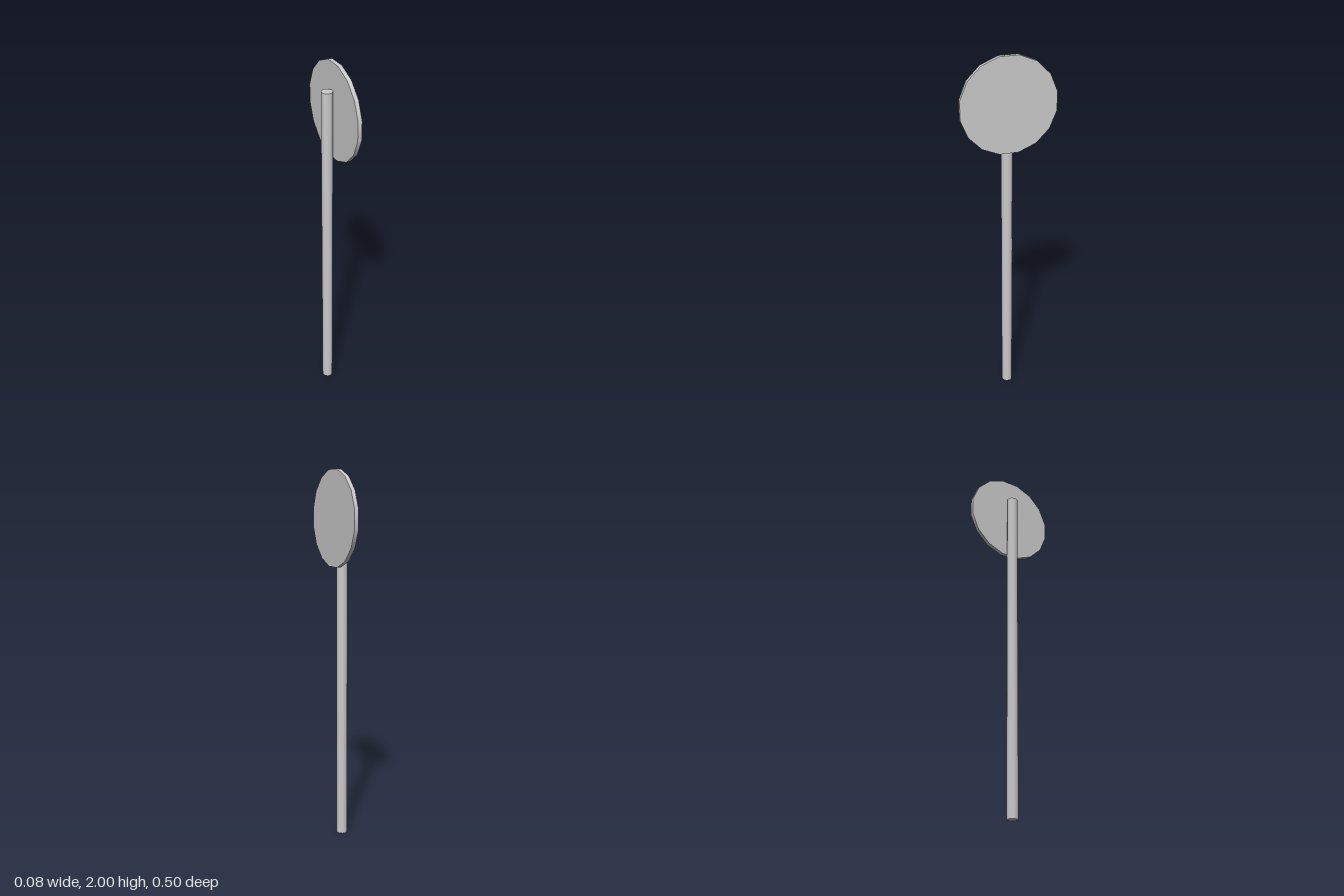
import * as THREE from 'three';

const material = new THREE.MeshStandardMaterial({ color: 0xcccccc });

// Cylinder sized across its flats, with a flat side facing each axis
function flatSided(apothem, height, sides) {
  const radius = apothem / Math.cos(Math.PI / sides);
  return new THREE.CylinderGeometry(radius, radius, height, sides, 1, false, Math.PI / sides);
}

export function createModel() {
  const model = new THREE.Group();
  model.name = 'roundSignPost';

  // Upright pole
  const poleHeight = 1.86;
  const pole = new THREE.Mesh(flatSided(0.029, poleHeight, 12), material);
  pole.name = 'pole';
  pole.position.set(-0.0115, poleHeight / 2, -0.003);
  model.add(pole);

  // Round plate fixed to the side of the pole, facing +x
  const plate = new THREE.Mesh(flatSided(0.25, 0.022, 16), material);
  plate.name = 'signPlate';
  plate.rotation.z = -Math.PI / 2;
  plate.position.set(0.029, 1.75, 0);
  model.add(plate);

  return model;
}
